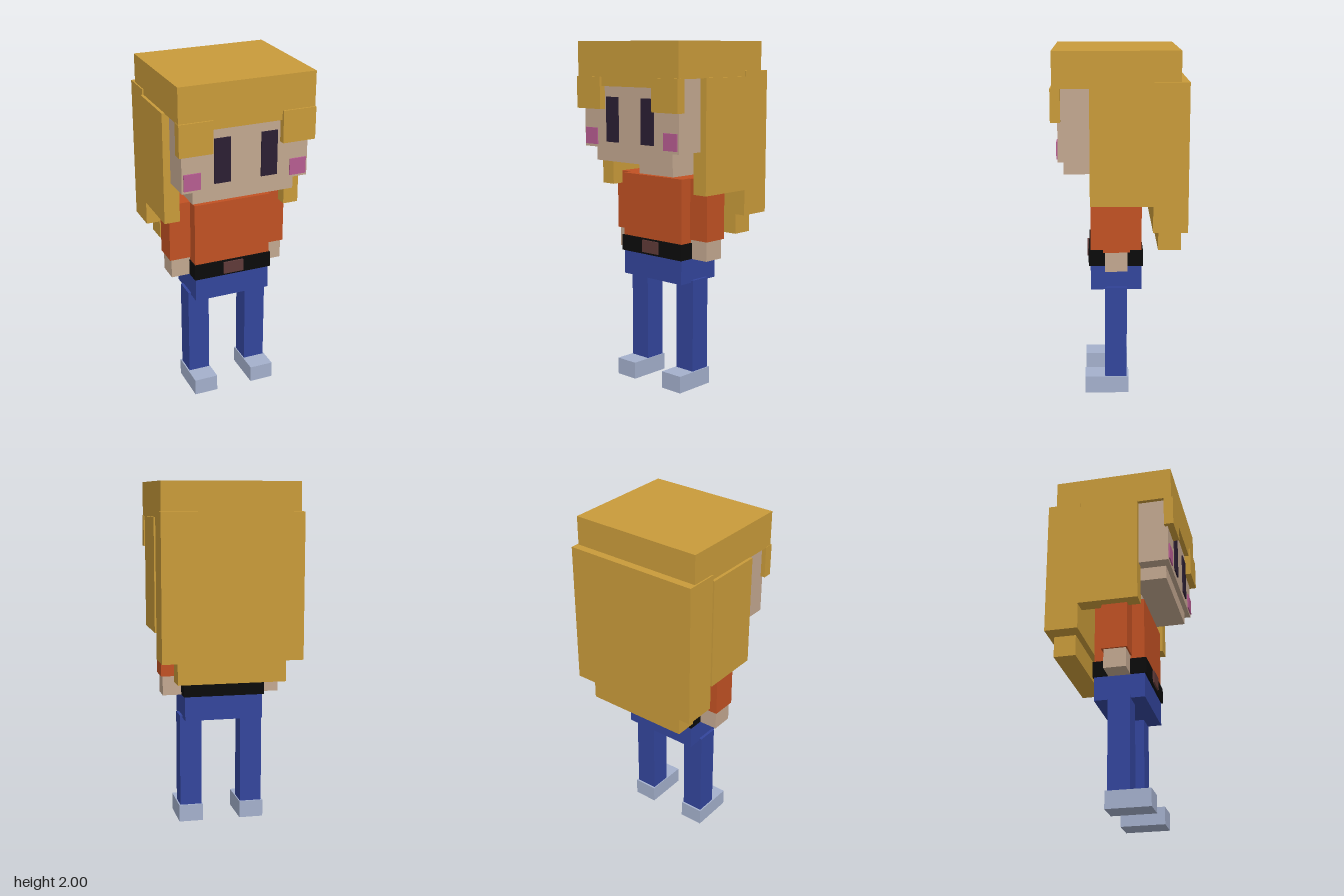
import * as THREE from 'three';

const mat = (name, color) => {
  const m = new THREE.MeshStandardMaterial({ color });
  m.name = name;
  return m;
};

export function createModel() {
  const hair = mat('hair gold', 0xc99b3a);
  const skin = mat('skin', 0xc3a890);
  const shirt = mat('shirt orange', 0xc15123);
  const jeans = mat('jeans blue', 0x33459c);
  const shoe = mat('shoe grey', 0xa4b0cc);
  const eye = mat('eye dark', 0x2b1f33);
  const blush = mat('blush pink', 0xb75d91);
  const black = mat('belt black', 0x0b0b0b);
  const brown = mat('buckle brown', 0x5f3a38);

  const model = new THREE.Group();
  model.name = 'character';
  const group = (name) => {
    const g = new THREE.Group();
    g.name = name;
    model.add(g);
    return g;
  };

  // Box given by its [min, max] extent on each axis
  const box = (parent, name, material, [x0, x1], [y0, y1], [z0, z1]) => {
    const mesh = new THREE.Mesh(new THREE.BoxGeometry(x1 - x0, y1 - y0, z1 - z0), material);
    mesh.position.set((x0 + x1) / 2, (y0 + y1) / 2, (z0 + z1) / 2);
    mesh.name = name;
    parent.add(mesh);
  };
  const centred = (parent, name, material, half, y, z) =>
    box(parent, name, material, [-half, half], y, z);
  // The same box on both sides of the body
  const pair = (parent, name, material, [a, b], y, z) => {
    box(parent, 'left' + name, material, [a, b], y, z);
    box(parent, 'right' + name, material, [-b, -a], y, z);
  };

  // Head and face
  const head = group('head');
  centred(head, 'face', skin, 0.37, [1.4, 1.8], [-0.18, 0.337]);
  centred(head, 'jaw', skin, 0.3, [1.32, 1.4], [-0.15, 0.31]);
  centred(head, 'neck', skin, 0.135, [1.235, 1.32], [-0.1, 0.13]);
  pair(head, 'Eye', eye, [0.09, 0.185], [1.435, 1.69], [0.337, 0.345]);
  pair(head, 'Cheek', blush, [0.263, 0.36], [1.415, 1.51], [0.337, 0.345]);

  // Hair: cap, fringe, side curtains and long back
  const hairGroup = group('hair');
  centred(hairGroup, 'hairCap', hair, 0.394, [1.8, 2], [-0.33, 0.365]);
  centred(hairGroup, 'fringe', hair, 0.2, [1.75, 1.8], [0.3, 0.365]);
  pair(hairGroup, 'Bang', hair, [0.203, 0.396], [1.62, 1.803], [0.32, 0.375]);
  pair(hairGroup, 'SideHair', hair, [0.32, 0.411], [1.16, 1.803], [-0.185, 0.164]);
  centred(hairGroup, 'backHair', hair, 0.402, [1.01, 1.835], [-0.376, -0.183]);
  centred(hairGroup, 'hairTip', hair, 0.31, [0.885, 1.01], [-0.345, -0.217]);

  // Torso, belt and hips
  const body = group('body');
  centred(body, 'torso', shirt, 0.232, [0.865, 1.237], [-0.127, 0.164]);
  centred(body, 'belt', black, 0.238, [0.772, 0.865], [-0.135, 0.175]);
  centred(body, 'buckle', brown, 0.062, [0.785, 0.857], [0.17, 0.185]);
  centred(body, 'hips', jeans, 0.23, [0.63, 0.772], [-0.127, 0.164]);

  // Arms
  const arms = group('arms');
  pair(arms, 'Sleeve', shirt, [0.215, 0.358], [0.885, 1.235], [-0.057, 0.092]);
  pair(arms, 'Hand', skin, [0.228, 0.347], [0.771, 0.885], [-0.045, 0.083]);

  // Legs and shoes
  const legs = group('legs');
  pair(legs, 'Leg', jeans, [0.118, 0.247], [0.08, 0.645], [-0.043, 0.083]);
  pair(legs, 'Shoe', shoe, [0.112, 0.255], [0, 0.1], [-0.055, 0.2]);

  return model;
}
